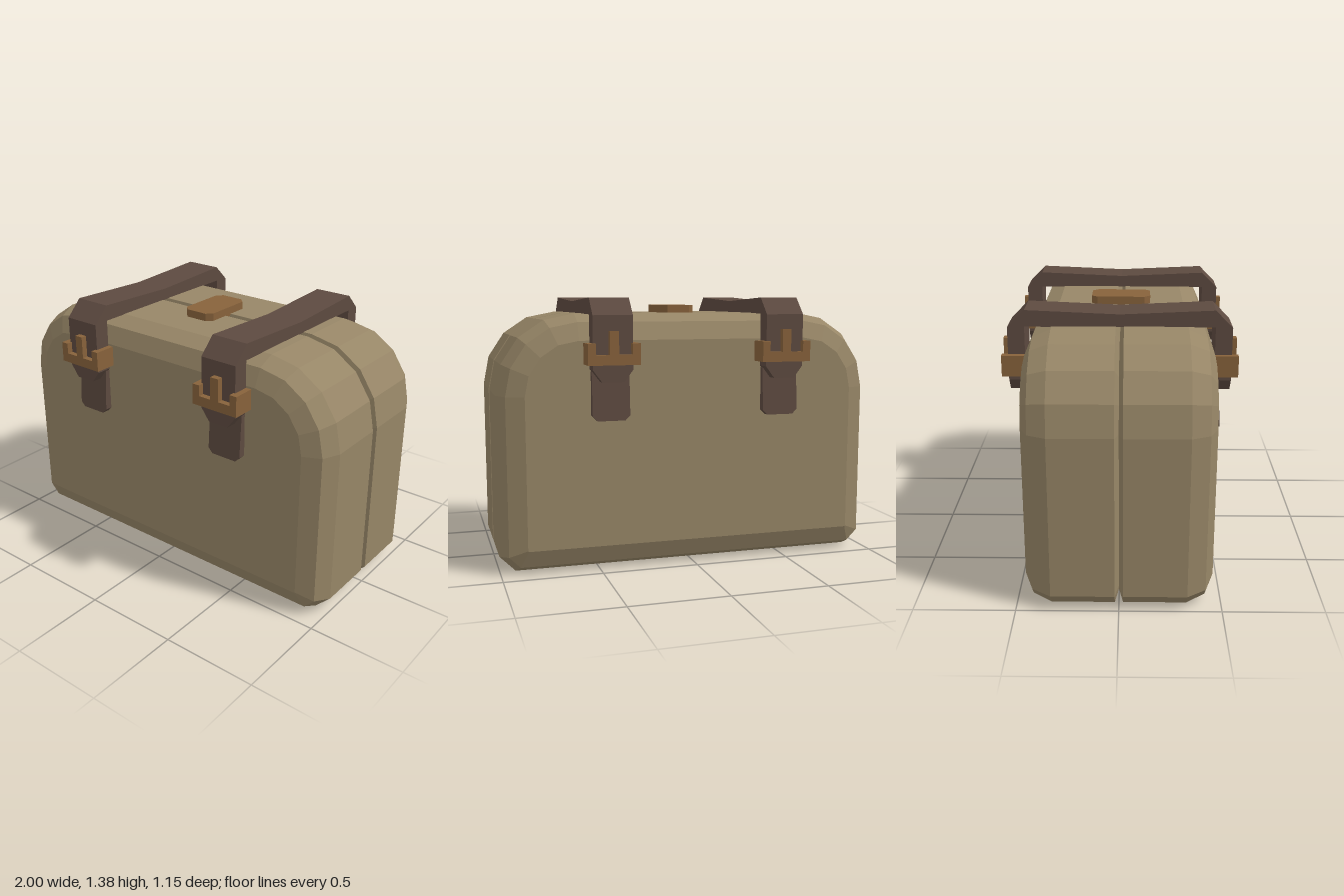
import * as THREE from 'three';

const mat = (name, color) => {
  const m = new THREE.MeshStandardMaterial({ color });
  m.name = name;
  return m;
};

const shapeOf = (pts) => new THREE.Shape(pts.map(([a, b]) => new THREE.Vector2(a, b)));

const extrude = (pts, depth) =>
  new THREE.ExtrudeGeometry(shapeOf(pts), { depth, bevelEnabled: false });

function add(parent, name, geometry, material) {
  const mesh = new THREE.Mesh(geometry, material);
  mesh.name = name;
  parent.add(mesh);
  return mesh;
}

// Case outline moved inward by d: chamfered bottom, rounded top corners
function outline(d) {
  const c = 0.08 - 0.586 * d;
  const half = [[1 - d - c, d], [1 - d, d + c]];
  for (let i = 0; i <= 4; i++) {
    const a = (i * Math.PI) / 8;
    half.push([0.6 + (0.4 - d) * Math.cos(a), 0.9 + (0.4 - d) * Math.sin(a)]);
  }
  return [...half, ...half.map(([x, y]) => [-x, y]).reverse()];
}

// Case lofted from back to front, with a V groove around the middle
function caseGeometry() {
  const sections = [
    [-0.46, 0.13], [-0.42, 0.04], [-0.33, 0], [-0.02, 0], [0, 0.06],
    [0.02, 0], [0.33, 0], [0.42, 0.04], [0.46, 0.13],
  ];
  const rings = sections.map(([z, d]) => outline(d).map(([x, y]) => [x, y, z]));
  const n = rings[0].length;
  const pos = [];
  const tri = (a, b, c) => pos.push(...a, ...b, ...c);
  const last = rings.length - 1;
  for (let j = 0; j < n; j++) {
    const k = (j + 1) % n;
    for (let i = 0; i < last; i++) {
      const a = rings[i], b = rings[i + 1];
      tri(a[j], a[k], b[k]);
      tri(a[j], b[k], b[j]);
    }
    tri([0, 0.65, 0.46], rings[last][j], rings[last][k]);
    tri([0, 0.65, -0.46], rings[0][k], rings[0][j]);
  }
  const g = new THREE.BufferGeometry();
  g.setAttribute('position', new THREE.Float32BufferAttribute(pos, 3));
  g.computeVertexNormals();
  return g;
}

export function createModel() {
  const tan = mat('tan canvas', 0x978667);
  const leather = mat('dark leather', 0x5d4a40);
  const brass = mat('brass', 0x87623b);
  tan.flatShading = true;

  const model = new THREE.Group();
  model.name = 'case';
  add(model, 'caseBody', caseGeometry(), tan);

  // Clasp plate on the top
  const clasp = extrude([
    [0.06, -0.155], [0.09, -0.125], [0.09, 0.125], [0.06, 0.155],
    [-0.06, 0.155], [-0.09, 0.125], [-0.09, -0.125], [-0.06, -0.155],
  ], 0.05);
  clasp.rotateX(-Math.PI / 2).translate(0, 1.29, 0);
  add(model, 'topClasp', clasp, brass);

  // Strap over the top, profile in z and y
  const side = [[0.46, 1.38], [0.545, 1.295], [0.545, 1.03], [0.462, 1.03], [0.462, 1.298]];
  const strap = extrude(
    [[0, 1.36], ...side, ...side.map(([z, y]) => [-z, y]).reverse()], 0.2);
  strap.rotateY(-Math.PI / 2).translate(0.1, 0, 0);

  // Tapered strap end
  const tip = extrude([[-0.1, 1.03], [-0.055, 0.97], [0.055, 0.97], [0.1, 1.03]], 0.083);
  tip.translate(0, 0, 0.462);

  // Tongue hanging under the buckle, leaning out toward its lower end
  const tongue = extrude([
    [-0.095, 1.02], [-0.095, 0.8], [-0.07, 0.775],
    [0.07, 0.775], [0.095, 0.8], [0.095, 1.02],
  ], 0.05);
  const p = tongue.attributes.position;
  for (let i = 0; i < p.count; i++) {
    p.setZ(i, p.getZ(i) > 0.01 ? 0.485 + (1.02 - p.getY(i)) * 0.065 : 0.45);
  }
  tongue.computeVertexNormals();

  // Buckle frame with two horns, and the prong in front of the strap
  const frame = extrude([
    [-0.13, 1.055], [0.13, 1.055], [0.13, 1.16], [0.09, 1.16],
    [0.09, 1.105], [-0.09, 1.105], [-0.09, 1.16], [-0.13, 1.16],
  ], 0.118);
  frame.translate(0, 0, 0.458);
  const prong = new THREE.BoxGeometry(0.046, 0.14, 0.034);
  prong.translate(0, 1.15, 0.559);

  for (const x of [-0.45, 0.45]) {
    const set = new THREE.Group();
    set.name = x > 0 ? 'leftStrap' : 'rightStrap';
    set.position.x = x;
    model.add(set);
    add(set, 'strap', strap, leather);
    for (const turn of [0, Math.PI]) {
      const end = new THREE.Group();
      end.name = turn ? 'backFastening' : 'frontFastening';
      end.rotation.y = turn;
      set.add(end);
      add(end, 'strapTip', tip, leather);
      add(end, 'strapTongue', tongue, leather);
      add(end, 'buckleFrame', frame, brass);
      add(end, 'buckleProng', prong, brass);
    }
  }
  return model;
}
